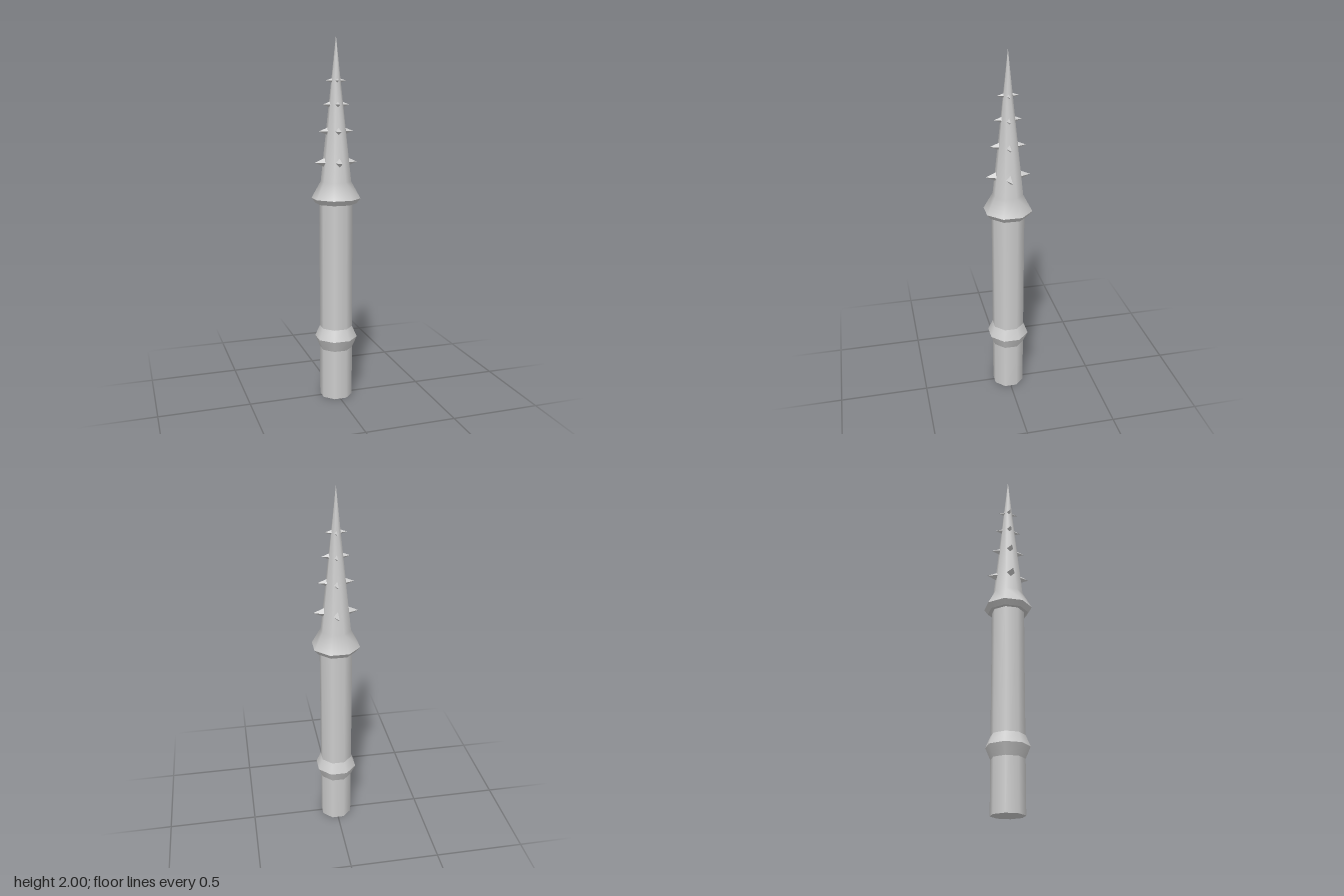
import * as THREE from 'three';

const SIDES = 8;
const TURN = Math.PI / SIDES; // flats face the axes
const K = 1 / Math.cos(TURN); // flat half-width to corner radius

export function createModel() {
  const model = new THREE.Group();
  const grey = new THREE.MeshStandardMaterial({ color: 0xcccccc });

  const add = (name, geometry, parent = model) => {
    const mesh = new THREE.Mesh(geometry, grey);
    mesh.name = name;
    parent.add(mesh);
    return mesh;
  };

  // octagonal frustum between two heights
  const frustum = (name, y0, r0, y1, r1, open = false) => {
    const g = new THREE.CylinderGeometry(r1 * K, r0 * K, y1 - y0, SIDES, 1, open, TURN, Math.PI * 2);
    add(name, g.translate(0, (y0 + y1) / 2, 0));
  };

  // shaft with its ridge ring
  frustum('shaft', 0, 0.084, 1.12, 0.084);
  frustum('ringLower', 0.282, 0.084, 0.345, 0.109, true);
  frustum('ringUpper', 0.345, 0.109, 0.406, 0.084, true);

  // spearhead: chamfered rim, then flare and long point
  frustum('headRim', 1.108, 0.104, 1.136, 0.124);
  const profile = [[0.124, 1.136], [0.077, 1.228], [0.025, 1.75], [0, 2]]
    .map(([r, y]) => new THREE.Vector2(r * K, y));
  add('head', new THREE.LatheGeometry(profile, SIDES, TURN));

  // four tiers of four-sided thorns: height, surface radius, tip radius, half-width
  const tiers = [
    [1.332, 0.067, 0.12, 0.026],
    [1.499, 0.05, 0.096, 0.021],
    [1.64, 0.036, 0.074, 0.017],
    [1.765, 0.024, 0.058, 0.013],
  ];
  for (const [y, surface, tip, size] of tiers) {
    const tier = new THREE.Group();
    tier.name = 'thornTier';
    tier.position.y = y;
    model.add(tier);
    const base = surface - 0.006;
    const thorn = new THREE.ConeGeometry(size, tip - base, 4).toNonIndexed();
    thorn.computeVertexNormals();
    thorn.rotateX(Math.PI / 2).translate(0, 0, (tip + base) / 2);
    for (let i = 0; i < 4; i++) add('thorn', thorn, tier).rotation.y = (i * Math.PI) / 2;
  }
  return model;
}
